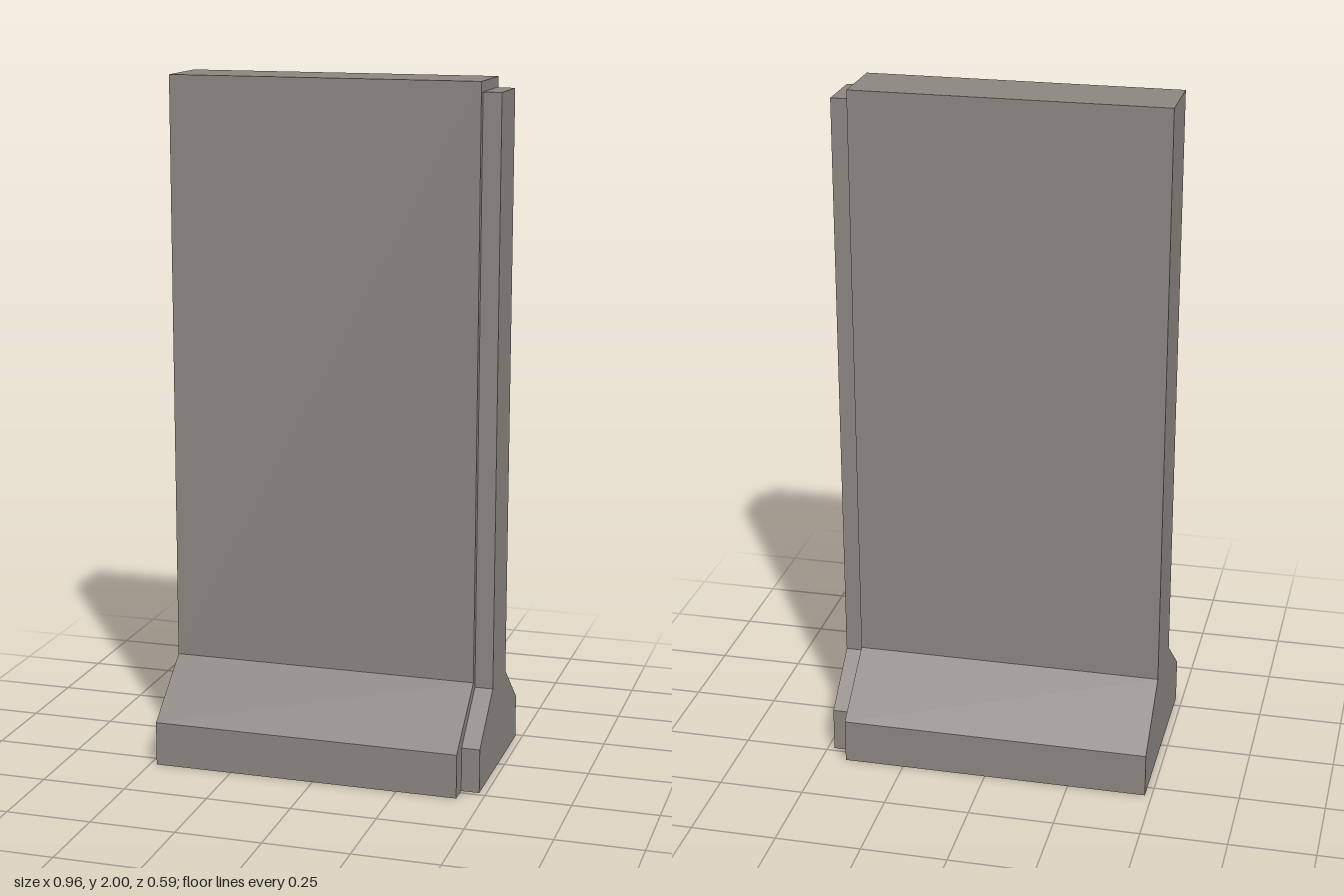
import * as THREE from 'three';

// Half profile [z, y] from the foot up, mirrored into a full open-bottomed outline
function outline(half) {
  return [...half, ...half.map(([z, y]) => [-z, y]).reverse()];
}

// Walls that follow the outline from x = xa to x = xb (xa < xb)
function walls(points, xa, xb) {
  const pos = [];
  for (let i = 0; i < points.length - 1; i++) {
    const [z0, y0] = points[i];
    const [z1, y1] = points[i + 1];
    pos.push(xa, y0, z0, xb, y0, z0, xb, y1, z1);
    pos.push(xa, y0, z0, xb, y1, z1, xa, y1, z1);
  }
  const geo = new THREE.BufferGeometry();
  geo.setAttribute('position', new THREE.Float32BufferAttribute(pos, 3));
  geo.computeVertexNormals();
  return geo;
}

// Flat end plate at x, facing +x (side = 1) or -x (side = -1)
function plate(points, x, side) {
  const shape = new THREE.Shape(points.map(([z, y]) => new THREE.Vector2(z, y)));
  return new THREE.ShapeGeometry(shape).rotateY(side * Math.PI / 2).translate(x, 0, 0);
}

export function createModel() {
  const concrete = new THREE.MeshStandardMaterial({ color: 0x8c8681, side: THREE.DoubleSide });
  concrete.name = 'concrete';

  const model = new THREE.Group();
  model.name = 'barrierWall';
  const add = (name, geometry) => {
    const mesh = new THREE.Mesh(geometry, concrete);
    mesh.name = name;
    model.add(mesh);
  };

  const body = outline([[0.295, 0], [0.295, 0.13], [0.102, 0.28], [0.102, 2]]);
  const tongue = outline([[0.236, 0], [0.236, 0.13], [0.082, 0.26], [0.082, 1.97]]);
  const left = 0.48, shoulder = 0.427, right = -0.48;

  // Hollow main slab with its flared foot, open underneath
  add('slabWalls', walls(body, right, shoulder));
  add('slabEnd', plate(body, right, -1));

  // Narrow shoulder around the connecting tongue
  add('shoulder', plate([...body, ...[...tongue].reverse()], shoulder, 1));

  // Connecting tongue on the left end
  add('tongueWalls', walls(tongue, shoulder, left));
  add('tongueEnd', plate(tongue, left, 1));

  return model;
}
